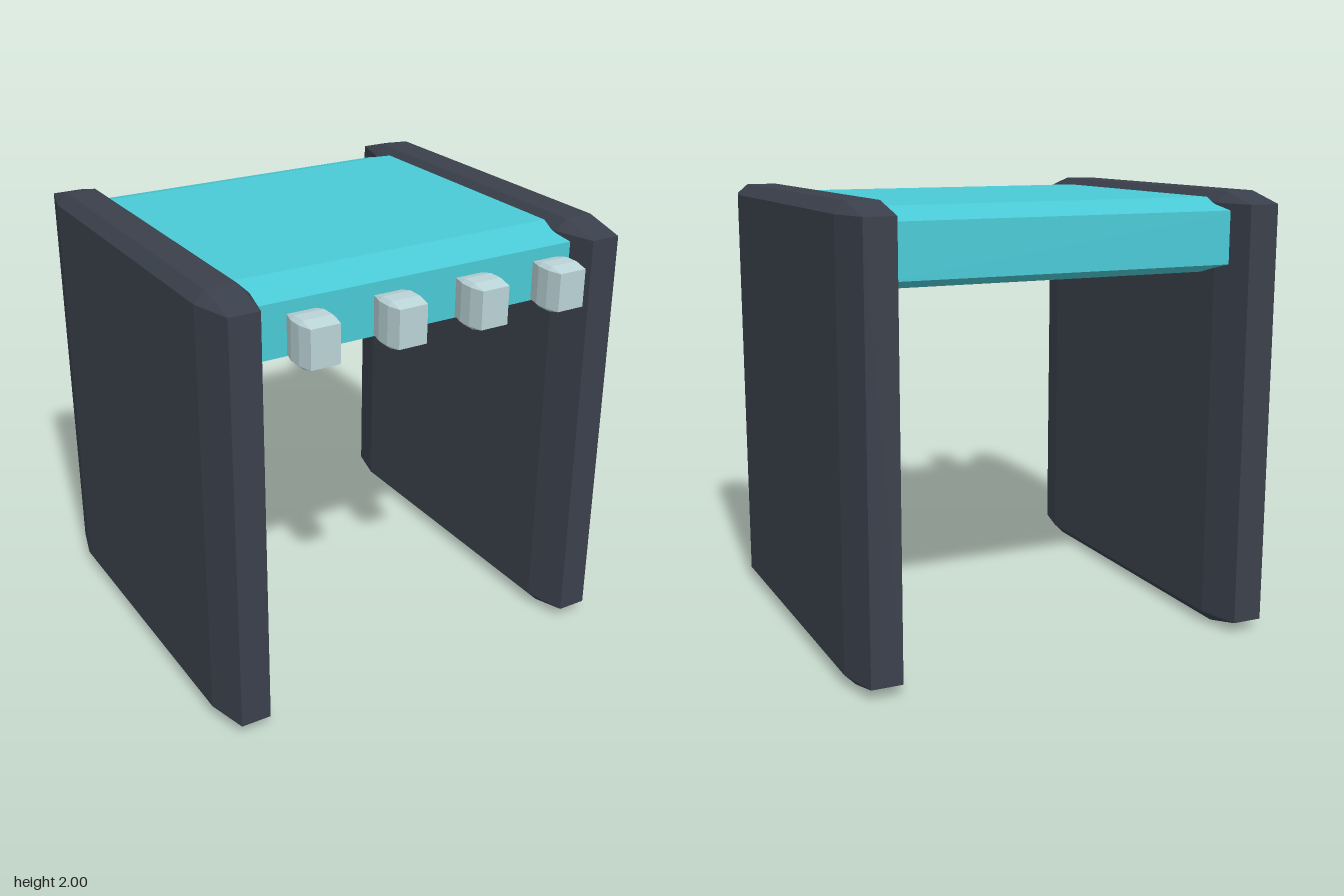
import * as THREE from 'three';
import { ConvexGeometry } from 'three/addons/geometries/ConvexGeometry.js';

// Box with flat chamfered edges; min/max corners and chamfer depth per axis
function chamferBox(min, max, bevel) {
  const c = min.map((v, i) => (v + max[i]) / 2);
  const h = max.map((v, i) => (v - min[i]) / 2);
  const points = [];
  for (const sx of [-1, 1]) for (const sy of [-1, 1]) for (const sz of [-1, 1]) {
    const s = [sx, sy, sz];
    // each corner becomes three points, one on each neighbouring face
    for (let face = 0; face < 3; face++) {
      const p = s.map((sign, i) => c[i] + sign * (i === face ? h[i] : h[i] - bevel[i]));
      points.push(new THREE.Vector3(...p));
    }
  }
  return new ConvexGeometry(points);
}

export function createModel() {
  const group = new THREE.Group();
  const slate = new THREE.MeshStandardMaterial({ color: 0x3a404b });
  slate.name = 'dark slate';
  const teal = new THREE.MeshStandardMaterial({ color: 0x4acad6 });
  teal.name = 'teal';
  const paleGrey = new THREE.MeshStandardMaterial({ color: 0xbad3d7 });
  paleGrey.name = 'pale grey';

  const add = (name, geometry, material) => {
    const mesh = new THREE.Mesh(geometry, material);
    mesh.name = name;
    group.add(mesh);
  };

  // side panels
  const panelBevel = [0.05, 0.05, 0.19];
  add('leftPanel', chamferBox([0.76, 0, -1], [1, 2, 0.87], panelBevel), slate);
  add('rightPanel', chamferBox([-1, 0, -1], [-0.76, 2, 0.87], panelBevel), slate);

  // top slab, its ends sunk into the panels
  add('topSlab', chamferBox([-0.9, 1.635, -0.89], [0.9, 1.97, 0.755], [0.05, 0.05, 0.185]), teal);

  // row of four knobs in front of the slab
  for (let i = 0; i < 4; i++) {
    const x = -0.604 + i * 0.4;
    add('knob' + (i + 1),
      chamferBox([x - 0.083, 1.705, 0.812], [x + 0.083, 1.906, 1], [0.017, 0.016, 0.062]), paleGrey);
  }
  return group;
}
